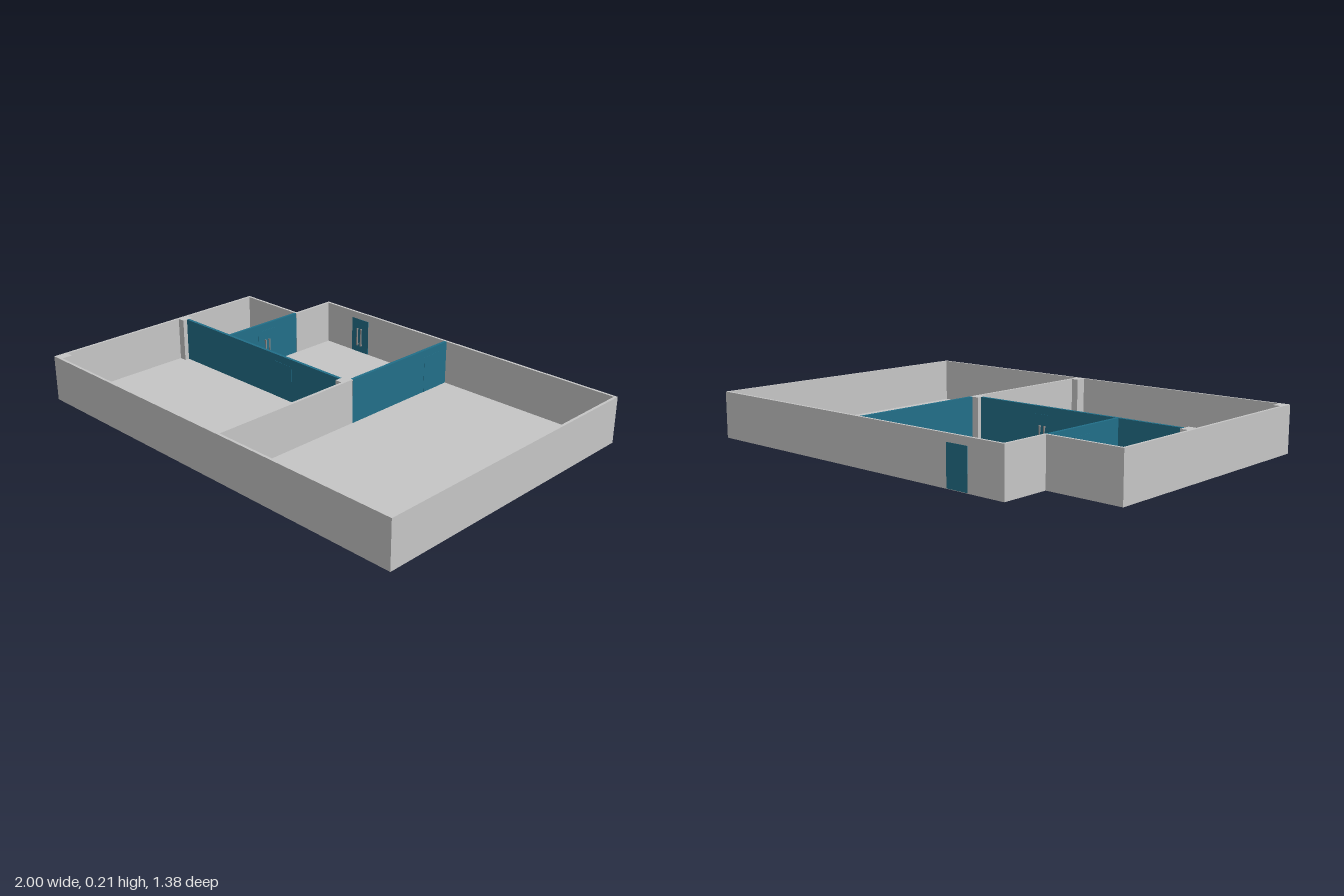
import * as THREE from 'three';

const H = 0.208;      // wall height
const T = 0.012;      // outer wall thickness
const D = 0.688;      // half depth
const DOOR_W = 0.106, DOOR_H = 0.175;

export function createModel() {
  const model = new THREE.Group();
  model.name = 'floorPlan';
  const plaster = new THREE.MeshStandardMaterial({ color: 0xc8c8c8 });
  plaster.name = 'plasterGrey';
  const teal = new THREE.MeshStandardMaterial({ color: 0x22708a });
  teal.name = 'partitionTeal';
  const metal = new THREE.MeshStandardMaterial({ color: 0x8c8c8c });
  metal.name = 'handleGrey';

  const add = (parent, name, geometry, material) => {
    const mesh = new THREE.Mesh(geometry, material);
    mesh.name = name;
    parent.add(mesh);
    return mesh;
  };
  // Box given by its extents on each axis
  const box = (parent, name, material, x0, x1, y0, y1, z0, z1) => {
    const mesh = add(parent, name, new THREE.BoxGeometry(x1 - x0, y1 - y0, z1 - z0), material);
    mesh.position.set((x0 + x1) / 2, (y0 + y1) / 2, (z0 + z1) / 2);
    return mesh;
  };

  // Building outline with the notched back right corner, inset by t
  const outline = (t) => [
    [-1 + t, D - t], [1 - t, D - t], [1 - t, -D + t],
    [-0.655 + t, -D + t], [-0.655 + t, -0.465 + t], [-1 + t, -0.465 + t],
  ].map(([x, z]) => new THREE.Vector2(x, -z));
  const rise = (shape, depth) =>
    new THREE.ExtrudeGeometry(shape, { depth, bevelEnabled: false }).rotateX(-Math.PI / 2);

  // Floor slab and outer walls
  add(model, 'floor', rise(new THREE.Shape(outline(T)), 0.005), plaster);
  const ring = new THREE.Shape(outline(0));
  ring.holes.push(new THREE.Path(outline(T)));
  add(model, 'outerWalls', rise(ring, H), plaster);

  // Solid inner wall
  box(model, 'innerWall', plaster, 0.101, 0.114, 0, H, -0.03, D - T);

  // Corner columns of the front room
  for (const [x0, x1] of [[-1, -0.953], [0.068, 0.114]]) {
    box(model, 'middleColumn', plaster, x0, x1, 0, H, -0.056, 0);
    box(model, 'frontColumn', plaster, x0, x1, 0, H, 0.627, D);
  }

  // Coloured partitions
  box(model, 'leftPartition', teal, 0.101, 0.115, 0.005, H, -D + T, -0.056);
  box(model, 'crossPartition', teal, -0.953, 0.068, 0.005, H, -0.036, -0.022);
  box(model, 'rightPartition', teal, -0.659, -0.645, 0.005, H, -0.453, -0.036);

  // Doors: a leaf slightly proud of its wall, with a pull handle on local +z
  const doors = [
    ['backDoor', -0.425, -D + T / 2, 0, T],
    ['crossDoor', -0.28, -0.029, Math.PI, 0.014],
    ['leftDoor', 0.108, -0.575, -Math.PI / 2, 0.014],
    ['rightDoor', -0.652, -0.255, Math.PI / 2, 0.014],
  ];
  for (const [name, x, z, turn, thick] of doors) {
    const door = new THREE.Group();
    door.name = name;
    door.position.set(x, 0, z);
    door.rotation.y = turn;
    const face = thick / 2 + 0.001;
    box(door, 'doorLeaf', teal, -DOOR_W / 2, DOOR_W / 2, 0.002, DOOR_H, -face, face);
    // Two upright bars held off the leaf by short posts
    for (const s of [-1, 1]) {
      const cx = s * 0.012;
      box(door, 'handleBar', metal, cx - 0.003, cx + 0.003, 0.04, 0.13, face + 0.006, face + 0.011);
      for (const y of [0.045, 0.125])
        box(door, 'handlePost', metal, cx - 0.002, cx + 0.002, y - 0.003, y + 0.003, face - 0.001, face + 0.007);
    }
    model.add(door);
  }
  return model;
}
